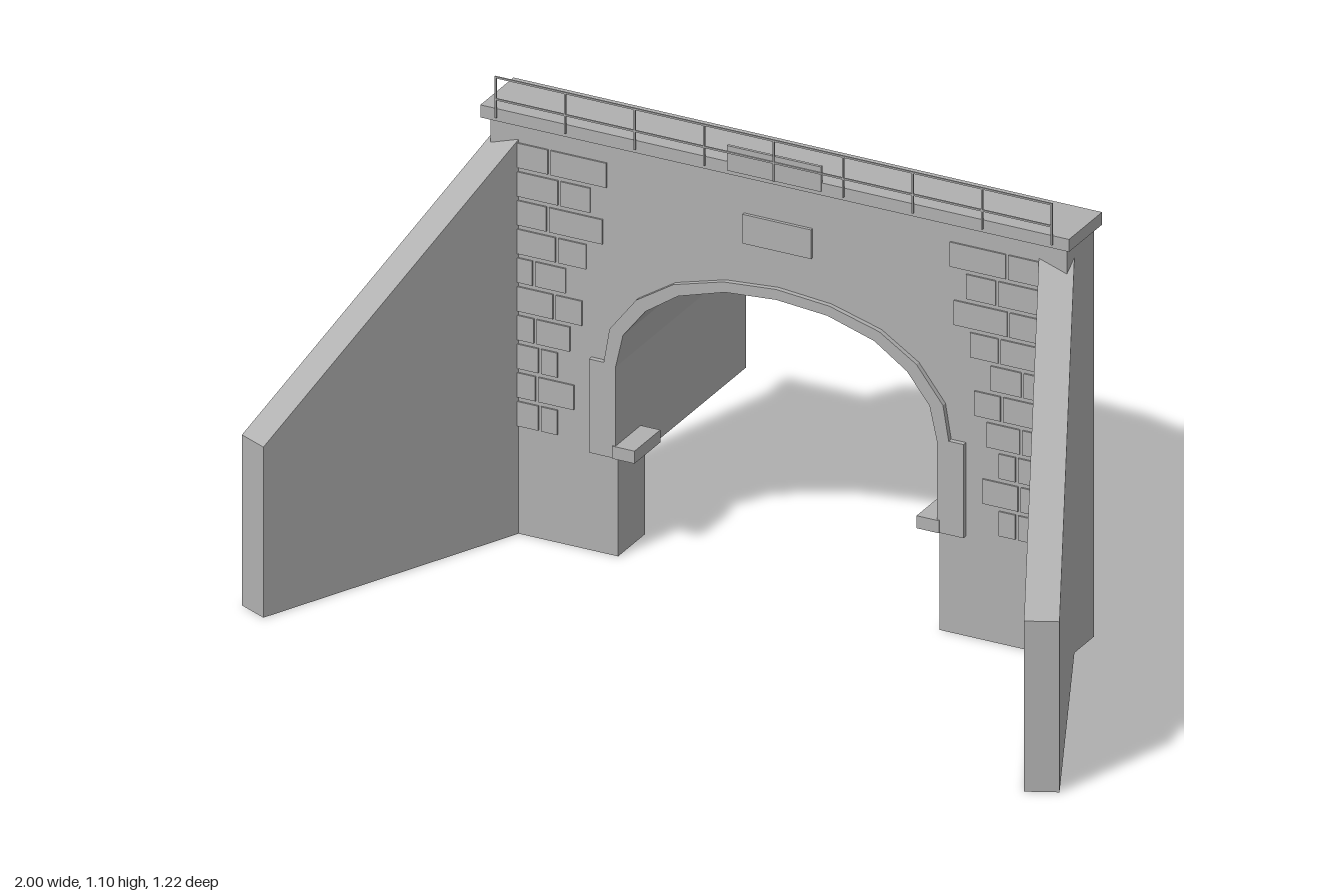
import * as THREE from 'three';

const concrete = new THREE.MeshStandardMaterial({ color: 0xb0b0b0, side: THREE.DoubleSide });
concrete.name = 'grey concrete';

const FRONT = -0.015, BACK = -0.14;

// Right half of the arch, from springing line to crown
const HALF = [[0.393, 0.46], [0.375, 0.54], [0.32, 0.61], [0.24, 0.665], [0.125, 0.7], [0, 0.71]];
const HALF_OUT = [[0.422, 0.465], [0.408, 0.548], [0.343, 0.632], [0.252, 0.69], [0.13, 0.724], [0, 0.735]];
const fullArch = half => [...half, ...half.slice(0, -1).reverse().map(([x, y]) => [-x, y])];

function add(parent, name, geometry) {
  const mesh = new THREE.Mesh(geometry, concrete);
  mesh.name = name;
  parent.add(mesh);
  return mesh;
}

// Box given by its limits on each axis
function box(parent, name, x0, x1, y0, y1, z0, z1) {
  const mesh = add(parent, name, new THREE.BoxGeometry(Math.abs(x1 - x0), y1 - y0, z1 - z0));
  mesh.position.set((x0 + x1) / 2, (y0 + y1) / 2, (z0 + z1) / 2);
  return mesh;
}

function extrude(points, z0, z1) {
  const shape = new THREE.Shape(points.map(([x, y]) => new THREE.Vector2(x, y)));
  return new THREE.ExtrudeGeometry(shape, { depth: z1 - z0, bevelEnabled: false }).translate(0, 0, z0);
}

// Open faceted sheet swept along z
function sheet(points, z0, z1) {
  const pos = [];
  for (let i = 0; i < points.length - 1; i++) {
    const [ax, ay] = points[i], [bx, by] = points[i + 1];
    pos.push(ax, ay, z0, bx, by, z1, bx, by, z0, ax, ay, z0, ax, ay, z1, bx, by, z1);
  }
  const g = new THREE.BufferGeometry();
  g.setAttribute('position', new THREE.Float32BufferAttribute(pos, 3));
  g.computeVertexNormals();
  return g;
}

// Splayed wing wall with a sloping top; s is the side, +1 or -1
function wingWall(parent, s) {
  const length = 0.696, thick = 0.077;
  const g = extrude([[0, 0], [length, 0], [length, 0.41], [0, 0.95]], 0, thick);
  if (s < 0) g.translate(0, 0, -thick);
  const along = new THREE.Vector3(s * 0.295, 0, 0.63).normalize();
  const up = new THREE.Vector3(0, 1, 0);
  const across = new THREE.Vector3().crossVectors(along, up);
  g.applyMatrix4(new THREE.Matrix4().makeBasis(along, up, across).setPosition(s * 0.705, 0, -0.05));
  add(parent, 'wingWall', g);
}

// Staggered facing stones beside a wing wall
function facingStones(parent, s) {
  const group = new THREE.Group();
  group.name = 'facingStones';
  const rows = 10, h = 0.066, gap = 0.007;
  for (let r = 0; r < rows; r++) {
    const y = 0.26 + r * 0.069;
    const reach = [0.1, 0.14, 0.1, 0.13, 0.16, 0.12, 0.17, 0.21, 0.18, 0.22][r];
    const split = reach * (r % 2 ? 0.38 : 0.6);
    const start = 0.64;
    box(group, 'stone', s * start, s * (start - split + gap), y, y + h - gap, FRONT - 0.005, FRONT + 0.004);
    box(group, 'stone', s * (start - split), s * (start - reach), y, y + h - gap, FRONT - 0.005, FRONT + 0.004);
  }
  parent.add(group);
}

// Hand rail along the parapet
function railing(parent) {
  const group = new THREE.Group();
  group.name = 'railing';
  const r = 0.002, z = 0.009;
  for (let i = -4; i <= 4; i++) {
    box(group, 'railPost', i * 0.17 - r, i * 0.17 + r, 1.0, 1.1, z - r, z + r);
  }
  for (const y of [1.045, 1.098]) box(group, 'rail', -0.682, 0.682, y - r, y + r, z - r, z + r);
  parent.add(group);
}

export function createModel() {
  const model = new THREE.Group();
  model.name = 'tunnelPortal';
  const arch = fullArch(HALF), archOut = fullArch(HALF_OUT);

  // Portal wall with arched opening
  add(model, 'portalWall', extrude(
    [[0.705, 0], [0.705, 0.99], [-0.705, 0.99], [-0.705, 0], [-0.393, 0], ...arch.slice().reverse(), [0.393, 0]],
    BACK, FRONT));
  box(model, 'parapetCap', -0.72, 0.72, 0.99, 1.02, -0.15, 0.004);
  box(model, 'parapetPlaque', -0.115, 0.115, 1.0, 1.06, 0.001, 0.008);
  box(model, 'wallPlaque', -0.085, 0.083, 0.825, 0.895, FRONT - 0.005, FRONT + 0.008);

  // Raised arch ring
  add(model, 'archRing', extrude([...archOut, ...arch.slice().reverse()], FRONT - 0.005, FRONT + 0.012));

  // Tunnel lining behind the wall
  add(model, 'tunnelLining', sheet([[0.393, 0.2], ...arch, [-0.393, 0.2]], -0.61, BACK));

  for (const s of [1, -1]) {
    wingWall(model, s);
    facingStones(model, s);
    box(model, 'archFoot', s * 0.393, s * 0.458, 0.24, 0.465, FRONT - 0.005, FRONT + 0.012);
    box(model, 'ledge', s * 0.345, s * 0.4, 0.24, 0.27, -0.12, 0);
    box(model, 'liningHook', s * 0.37, s * 0.388, 0.59, 0.6, -0.236, -0.19);
  }
  railing(model);
  return model;
}
